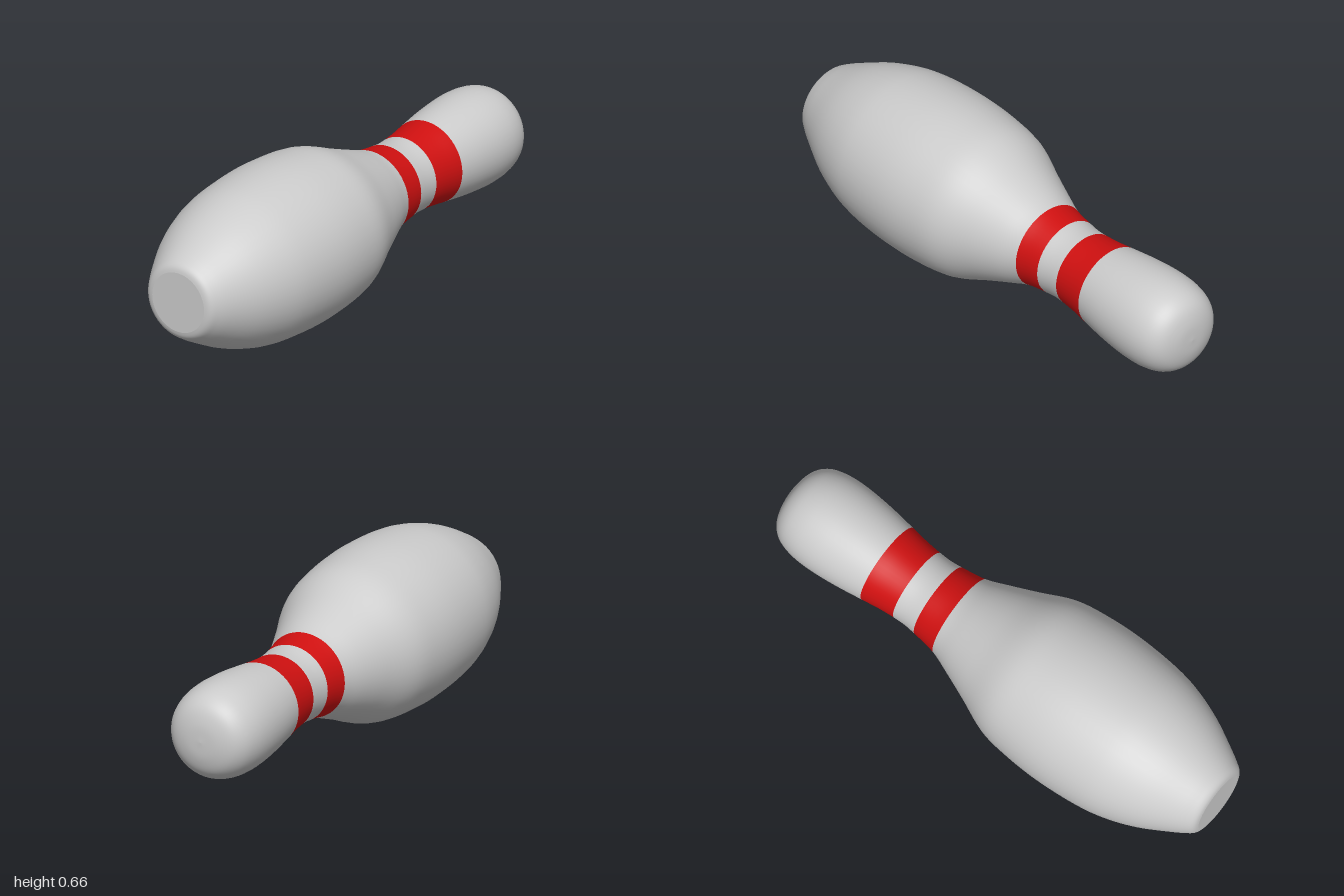
import * as THREE from 'three';

const AXIS_HEIGHT = 0.328;
const SEGMENTS = 48;
const STEPS = 5; // samples between neighbouring profile points

// Pin profile from base to crown: [radius, distance along the pin]
const PROFILE = [
  [0, -1], [0.12, -1], [0.145, -0.99], [0.167, -0.96], [0.196, -0.91],
  [0.253, -0.8], [0.29, -0.7], [0.313, -0.6], [0.328, -0.4], [0.321, -0.24], [0.302, -0.12],
  [0.247, 0.01], [0.202, 0.12], [0.168, 0.21],  // 13: lower stripe starts
  [0.152, 0.31],                                // 14: lower stripe ends
  [0.147, 0.36], [0.148, 0.41],                 // 16: upper stripe starts
  [0.154, 0.48], [0.164, 0.55],                 // 18: upper stripe ends
  [0.181, 0.68], [0.188, 0.8], [0.181, 0.88], [0.162, 0.935],
  [0.128, 0.972], [0.07, 0.994], [0, 1],
];

// Sections between profile points
const PARTS = [
  ['body', 1, 13, 0xcccccc],
  ['lowerStripe', 13, 14, 0xd01010],
  ['neck', 14, 16, 0xcccccc],
  ['upperStripe', 16, 18, 0xd01010],
  ['head', 18, 25, 0xcccccc],
];

export function createModel() {
  const group = new THREE.Group();
  group.name = 'bowlingPin';
  const last = PROFILE.length - 1;
  const curve = new THREE.CatmullRomCurve3(PROFILE.map(([r, y]) => new THREE.Vector3(r, y, 0)));

  const addMesh = (name, geometry, color) => {
    const mesh = new THREE.Mesh(geometry, new THREE.MeshStandardMaterial({ color }));
    mesh.name = name;
    mesh.position.y = AXIS_HEIGHT;
    group.add(mesh);
  };

  // Turned sections, laid down with the crown pointing back
  for (const [name, from, to, color] of PARTS) {
    const points = [];
    for (let i = from * STEPS; i <= to * STEPS; i++) {
      const p = curve.getPoint(i / (last * STEPS));
      points.push(new THREE.Vector2(Math.max(p.x, 0), p.y));
    }
    addMesh(name, new THREE.LatheGeometry(points, SEGMENTS).rotateX(-Math.PI / 2), color);
  }

  // Flat foot of the pin
  const foot = new THREE.CircleGeometry(PROFILE[1][0], SEGMENTS).translate(0, 0, 1);
  addMesh('base', foot, 0xcccccc);
  return group;
}
